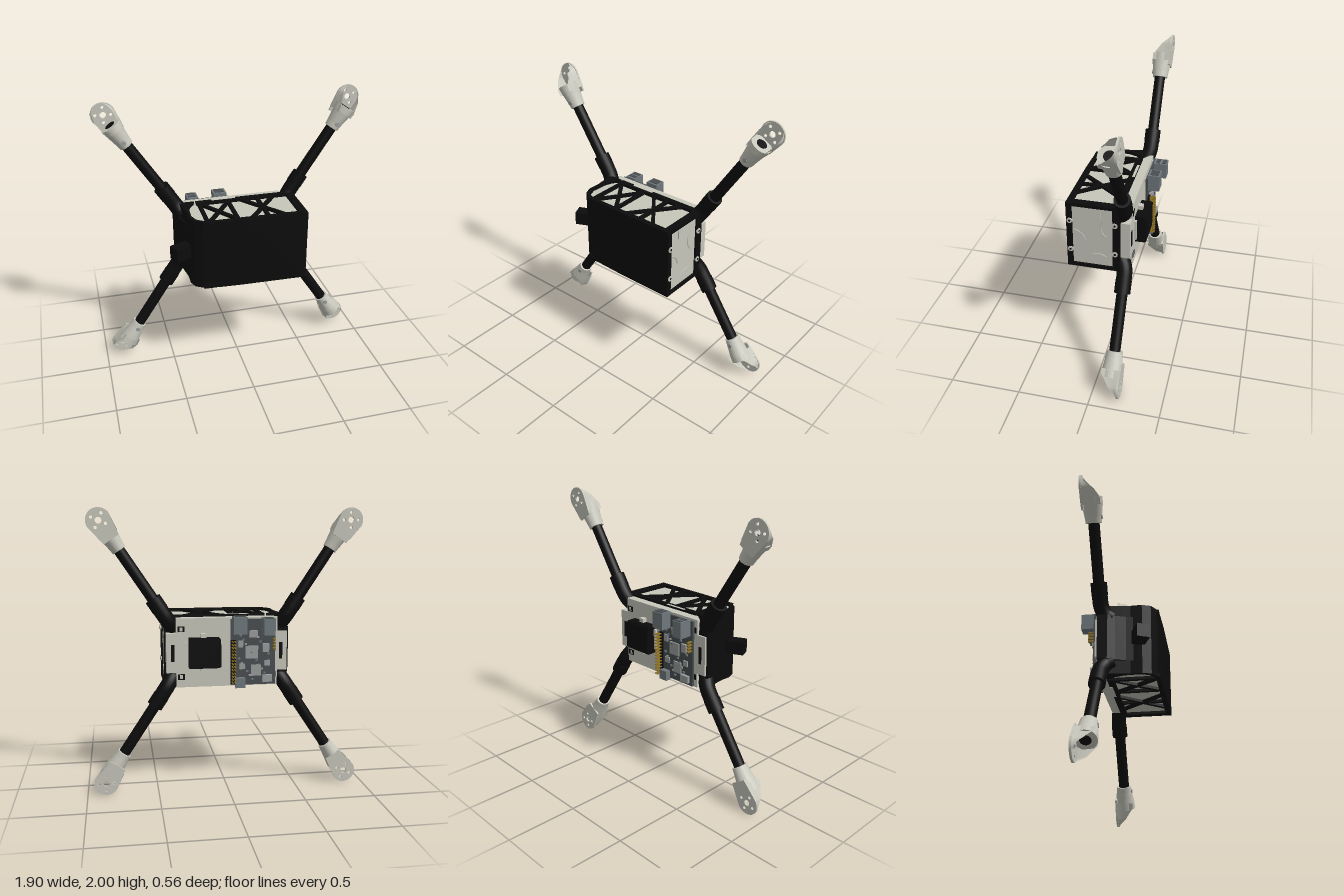
import * as THREE from 'three';

export function createModel() {
  const root = new THREE.Group();
  root.name = 'quadcopterFrame';
  const mat = (name, color, side = THREE.FrontSide) => {
    const m = new THREE.MeshStandardMaterial({ color, side });
    m.name = name;
    return m;
  };
  const black = mat('black plastic', 0x0c0c0c);
  const white = mat('warm white plastic', 0xc6c6bb, THREE.DoubleSide);
  const board = mat('board grey', 0x4a4e50);
  const steel = mat('connector steel', 0x6f787c);
  const chip = mat('chip grey', 0x9a9d9c);
  const brass = mat('brass pins', 0x8f7424);

  const add = (name, geo, m, parent = root) => {
    const mesh = new THREE.Mesh(geo, m);
    mesh.name = name;
    parent.add(mesh);
    return mesh;
  };
  // Box given by its limits on each axis
  const box = (name, x0, x1, y0, y1, z0, z1, m, parent = root) => {
    const b = add(name, new THREE.BoxGeometry(x1 - x0, y1 - y0, z1 - z0), m, parent);
    b.position.set((x0 + x1) / 2, (y0 + y1) / 2, (z0 + z1) / 2);
    return b;
  };
  // Outline in x and z, extruded along y
  const slab = (name, pts, y0, y1, m) => {
    const shape = new THREE.Shape(pts.map(p => new THREE.Vector2(p[0], p[1])));
    const g = new THREE.ExtrudeGeometry(shape, { depth: y1 - y0, bevelEnabled: false });
    g.rotateX(Math.PI / 2).translate(0, y1, 0);
    return add(name, g, m);
  };
  // Surface from a rule fn(u, v) -> [x, y, z]
  const grid = (nu, nv, fn) => {
    const pos = [], idx = [];
    for (let i = 0; i <= nu; i++) for (let j = 0; j <= nv; j++) pos.push(...fn(i / nu, j / nv));
    for (let i = 0; i < nu; i++) for (let j = 0; j < nv; j++) {
      const a = i * (nv + 1) + j, b = a + nv + 1;
      idx.push(a, b, a + 1, b, b + 1, a + 1);
    }
    const g = new THREE.BufferGeometry();
    g.setAttribute('position', new THREE.Float32BufferAttribute(pos, 3));
    g.setIndex(idx);
    g.computeVertexNormals();
    return g;
  };

  // ---- Battery bay: white core inside a black shell ----
  const Y0 = 0.745, Y1 = 1.26;
  const inner = [[0.425, -0.09], [0.425, 0.25], [-0.2, 0.24], [-0.29, 0.225], [-0.335, 0.19], [-0.355, 0.13],
    [-0.35, 0.02], [-0.33, -0.04], [-0.29, -0.09]];
  slab('innerHousing', inner, Y0 + 0.02, Y1 - 0.02, white);
  slab('shellFront', [[0.44, 0.245], [0.44, 0.277], [-0.02, 0.27], [-0.2, 0.262], [-0.3, 0.245], [-0.355, 0.21],
    [-0.378, 0.15], [-0.375, 0.07], [-0.385, 0.0], [-0.4, -0.1], [-0.29, -0.1], [-0.33, -0.04], [-0.35, 0.02],
    [-0.355, 0.13], [-0.335, 0.19], [-0.29, 0.225], [-0.2, 0.238]], Y0, Y1, black);
  slab('shellEndFlare', [[-0.37, 0.12], [-0.385, 0.04], [-0.41, -0.03], [-0.44, -0.08], [-0.44, -0.15],
    [-0.34, -0.15], [-0.34, 0.12]], 0.84, 1.17, black);
  const nub = add('cablePort', new THREE.BoxGeometry(0.13, 0.095, 0.09), black);
  nub.position.set(-0.435, 1.002, 0.147);
  nub.rotation.y = 0.42;

  // Truss on both long sides
  const strut = (y, x0, z0, x1, z1, w = 0.026) => {
    const dx = x1 - x0, dz = z1 - z0;
    const s = add('trussBar', new THREE.BoxGeometry(Math.hypot(dx, dz), 0.024, w), black);
    s.position.set((x0 + x1) / 2, y, (z0 + z1) / 2);
    s.rotation.y = Math.atan2(-dz, dx);
  };
  for (const y of [Y1 - 0.0125, Y0 + 0.0125]) {
    strut(y, -0.28, -0.08, 0.44, -0.08, 0.045);
    strut(y, 0.412, -0.1, 0.412, 0.26, 0.055);
    strut(y, -0.3, 0.245, 0.43, 0.252, 0.03);
    for (const x of [-0.262, -0.05, 0.165]) strut(y, x, -0.08, x, 0.25);
    strut(y, -0.262, -0.07, -0.15, 0.09);
    strut(y, -0.262, 0.25, -0.15, 0.09);
    strut(y, -0.15, 0.09, -0.05, -0.06);
    strut(y, -0.15, 0.09, -0.05, 0.24);
    for (const [x, z] of [[0.045, -0.065], [0.285, -0.065], [0.045, 0.245], [0.285, 0.245]])
      strut(y, x, z, 0.165, 0.09);
    box('sideLatch', -0.165, 0.01, y - 0.014, y + 0.014, -0.102, -0.083, white);
  }

  // Open end: black rim, white panel, ears and raised arcs
  box('rimFront', 0.41, 0.44, Y0, Y1, 0.238, 0.277, black);
  box('rimBack', 0.41, 0.44, Y0, Y1, -0.1, -0.045, black);
  box('rimTop', 0.41, 0.44, Y1 - 0.025, Y1, -0.1, 0.27, black);
  box('rimBottom', 0.41, 0.44, Y0, Y0 + 0.025, -0.1, 0.27, black);
  box('panelTab', 0.42, 0.432, 1.15, 1.235, 0.04, 0.15, white);
  for (const y of [0.887, 1.12]) for (const z of [0.252, -0.062]) {
    const ear = add('panelEar', new THREE.CylinderGeometry(0.02, 0.02, 0.012, 16), white);
    ear.rotation.z = Math.PI / 2;
    ear.position.set(0.44, y, z);
    const hole = add('earHole', new THREE.CylinderGeometry(0.008, 0.008, 0.006, 12), black);
    hole.rotation.z = Math.PI / 2;
    hole.position.set(0.4445, y, z);
  }
  for (const [y, z, r, start] of [[0.95, 0.24, 0.09, 0], [1.08, -0.05, 0.09, 2.6], [0.77, 0.06, 0.09, 0.9]]) {
    const arc = add('panelArc', new THREE.TorusGeometry(r, 0.007, 4, 16, 1.5), white);
    arc.rotation.set(0, Math.PI / 2, 0);
    arc.rotateZ(start);
    arc.position.set(0.424, y, z);
  }

  // ---- Rear deck with end tabs ----
  slab('rearDeck', [[0.36, -0.165], [0.36, -0.085], [-0.28, -0.085], [-0.36, -0.145], [-0.36, -0.165]], 0.755, 1.245, white);
  for (const s of [1, -1]) {
    const a = s > 0 ? 0.34 : -0.43, b = s > 0 ? 0.43 : -0.34;
    box('deckTab', a, b, 0.86, 1.14, -0.165, -0.1, white);
    box('tabSlot', s * 0.385 - 0.012, s * 0.385 + 0.012, 0.94, 1.06, -0.169, -0.16, black);
    for (const y of [0.83, 1.17]) {
      box('strapSlot', s * 0.325 - 0.025, s * 0.325 + 0.025, y - 0.02, y + 0.02, -0.168, -0.16, black);
      box('strapBridge', s * 0.325 - 0.01, s * 0.325 + 0.01, y - 0.014, y + 0.014, -0.17, -0.16, white);
    }
  }

  // ---- Receiver block ----
  box('receiverSeat', 0.04, 0.3, 0.93, 1.08, -0.18, -0.16, white);
  box('receiverBody', 0.06, 0.275, 0.9, 1.11, -0.235, -0.16, black);
  box('receiverLid', 0.055, 0.28, 0.91, 1.1, -0.245, -0.225, black);
  for (const y of [0.885, 1.125]) box('receiverClip', 0.15, 0.19, y - 0.015, y + 0.015, -0.2, -0.16, white);

  // ---- Flight computer ----
  const computer = new THREE.Group();
  computer.name = 'flightComputer';
  root.add(computer);
  box('circuitBoard', -0.34, -0.02, 0.765, 1.235, -0.192, -0.176, board, computer);
  for (const x of [-0.32, -0.04]) for (const y of [0.785, 1.215])
    box('standoff', x - 0.012, x + 0.012, y - 0.012, y + 0.012, -0.178, -0.16, white, computer);
  box('networkPort', -0.125, -0.03, 1.14, 1.26, -0.272, -0.19, steel, computer);
  box('networkPortMouth', -0.112, -0.043, 1.258, 1.264, -0.262, -0.205, board, computer);
  box('usbPort', -0.32, -0.24, 1.13, 1.245, -0.285, -0.19, steel, computer);
  for (const z of [-0.265, -0.22]) box('usbSlot', -0.31, -0.25, 1.243, 1.249, z - 0.013, z + 0.013, board, computer);
  box('powerPort', -0.12, -0.05, 0.75, 0.82, -0.23, -0.19, steel, computer);
  for (const [x, y, w, h, d] of [[-0.17, 1.0, 0.09, 0.09, 0.012], [-0.2, 0.87, 0.07, 0.08, 0.014],
    [-0.27, 1.03, 0.045, 0.06, 0.02], [-0.18, 1.13, 0.06, 0.05, 0.018], [-0.28, 0.92, 0.04, 0.04, 0.012],
    [-0.1, 0.9, 0.04, 0.04, 0.014], [-0.09, 1.06, 0.035, 0.05, 0.012], [-0.28, 0.81, 0.07, 0.05, 0.025]])
    box('chip', x - w / 2, x + w / 2, y - h / 2, y + h / 2, -0.19 - d, -0.19, chip, computer);
  for (let i = 0; i < 24; i++) {
    const x = -0.3 + ((i * 37) % 24) / 24 * 0.23, y = 0.79 + i / 24 * 0.36;
    box('smallComponent', x - 0.008, x + 0.008, y - 0.006, y + 0.006, -0.202, -0.19, i % 3 ? steel : chip, computer);
  }
  box('pinHeaderBase', -0.055, -0.02, 0.775, 1.09, -0.206, -0.19, black, computer);
  for (let i = 0; i < 14; i++) for (const x of [-0.046, -0.029])
    box('pin', x - 0.004, x + 0.004, 0.785 + i * 0.0225, 0.793 + i * 0.0225, -0.25, -0.2, brass, computer);
  for (let i = 0; i < 4; i++)
    box('sidePin', -0.335, -0.32, 1.02 + i * 0.022, 1.03 + i * 0.022, -0.23, -0.19, brass, computer);

  // ---- Motor mount pieces, local +y points outward along the arm ----
  const rows = [[0, 0.049, -0.076, -0.186], [0.04, 0.053, -0.072, -0.19], [0.09, 0.06, -0.064, -0.197],
    [0.13, 0.067, -0.058, -0.2], [0.175, 0.074, -0.058, -0.2]];
  const sleeveGeo = grid(rows.length + 1, 32, (u, v) => {
    const k = Math.round(u * (rows.length + 1));
    const [s, hw, zf, zb] = rows[Math.min(Math.max(k - 1, 0), rows.length - 1)];
    const r = k === 0 || k === rows.length + 1 ? 0 : 1, a = v * Math.PI * 2;
    return [r * hw * Math.cos(a), s, (zf + zb) / 2 + r * (zf - zb) / 2 * Math.sin(a)];
  }).toNonIndexed();
  sleeveGeo.computeVertexNormals();
  // Flared wall around the motor seat, dropping to the plate at the tip
  const wallGeo = grid(40, 6, (u, v) => {
    const t = u * 2 - 1, q = Math.abs(t), sg = Math.sign(t);
    let x, y;
    if (q < 0.7) {
      const a = t / 0.7 * Math.PI / 2;
      x = Math.sin(a) * 0.085; y = 0.24 + Math.cos(a) * 0.085;
    } else {
      const f = (q - 0.7) / 0.3;
      x = sg * (0.085 - 0.017 * f); y = 0.24 - 0.12 * f;
    }
    const h = 0.008 + 0.125 * Math.pow(Math.min(q / 0.9, 1), 2.4), pinch = 1 - 0.16 * Math.sin(v * Math.PI / 2) * Math.min(1, q * 2);
    return [x * pinch, y, -0.2 + h * v];
  });
  const plate = new THREE.Shape();
  plate.absarc(0, 0.24, 0.085, 0, Math.PI, false);
  plate.lineTo(-0.06, 0.09);
  plate.lineTo(0.06, 0.09);
  const hole = (x, y, r) => plate.holes.push(new THREE.Path().absarc(x, y, r, 0, Math.PI * 2, true));
  hole(0, 0.24, 0.022);
  for (let i = 0; i < 4; i++) {
    const a = Math.PI / 4 + i * Math.PI / 2 + 0.2;
    hole(0.052 * Math.cos(a), 0.24 + 0.052 * Math.sin(a), 0.011);
  }
  const plateGeo = new THREE.ExtrudeGeometry(plate, { depth: 0.014, bevelEnabled: false, curveSegments: 20 });
  plateGeo.translate(0, 0, -0.2);

  // ---- Four arms ----
  const socketPath = new THREE.CatmullRomCurve3([[-0.4, -0.13], [-0.5, -0.13], [-0.57, -0.125], [-0.63, -0.1], [-0.66, -0.06]]
    .map(p => new THREE.Vector3(0, p[0], p[1])));
  for (const sx of [1, -1]) for (const sy of [1, -1]) {
    const arm = new THREE.Group();
    arm.name = (sy > 0 ? 'upper' : 'lower') + (sx > 0 ? 'Left' : 'Right') + 'Arm';
    arm.position.set(sx * 0.735, 1 + sy * 0.715, 0);
    arm.rotation.z = Math.atan2(-sx * 0.55, sy * 0.835);
    root.add(arm);
    const rod = (name, r, s0, s1, m) =>
      add(name, new THREE.CylinderGeometry(r, r, s1 - s0, 24), m, arm).position.set(0, (s0 + s1) / 2, -0.13);
    rod('armTube', 0.039, -0.5, 0.06, black);
    rod('socketCollar', 0.057, -0.49, -0.4, black);
    add('armSocket', new THREE.TubeGeometry(socketPath, 16, 0.055, 20), black, arm);
    add('motorSleeve', sleeveGeo, white, arm);
    add('motorSeatWall', wallGeo, white, arm);
    add('motorPlate', plateGeo, white, arm);
    rod('tubeBore', 0.036, 0.16, 0.178, black);
    const screw = add('clampScrew', new THREE.CylinderGeometry(0.016, 0.016, 0.012, 16), chip, arm);
    screw.rotation.x = Math.PI / 2;
    screw.position.set(0, 0.04, -0.074);
  }
  return root;
}
